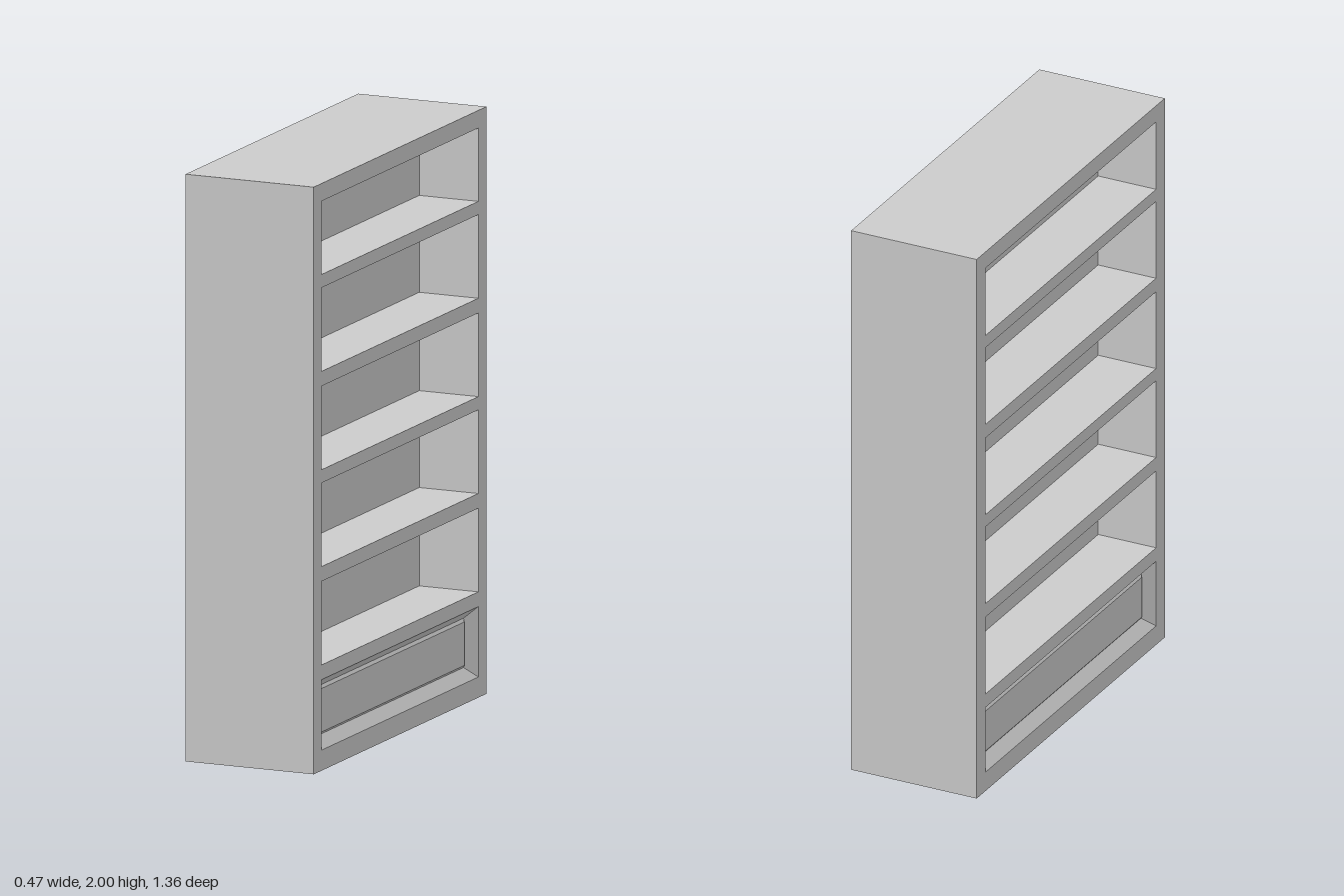
import * as THREE from 'three';

const HALF_DEPTH = 0.235, HALF_WIDTH = 0.68, OPEN = 0.617, HEIGHT = 2;
// bottom and top of each opening, lowest first
const BAYS = [[0.07, 0.31], [0.36, 0.645], [0.695, 0.98], [1.025, 1.31], [1.36, 1.645], [1.69, 1.94]];

const material = new THREE.MeshStandardMaterial({ color: 0xcccccc, flatShading: true });

function rectangle(Type, w, y0, y1) {
  const r = new Type();
  r.moveTo(-w, y0);
  r.lineTo(w, y0);
  r.lineTo(w, y1);
  r.lineTo(-w, y1);
  r.closePath();
  return r;
}

// Nested rectangles [inset, x] joined by sloping faces and capped, facing +x
function beveledPanel(w, y0, y1, rings) {
  const pos = [], index = [];
  rings.forEach(([inset, x], r) => {
    const z = w - inset, a = y0 + inset, b = y1 - inset;
    pos.push(x, a, z, x, a, -z, x, b, -z, x, b, z);
    if (r === 0) return;
    for (let i = 0; i < 4; i++) {
      const j = (i + 1) % 4, o = (r - 1) * 4, n = r * 4;
      index.push(o + i, o + j, n + j, o + i, n + j, n + i);
    }
  });
  const c = (rings.length - 1) * 4;
  index.push(c, c + 1, c + 2, c, c + 2, c + 3);
  const geo = new THREE.BufferGeometry();
  geo.setAttribute('position', new THREE.Float32BufferAttribute(pos, 3));
  geo.setIndex(index);
  const flat = geo.toNonIndexed();
  flat.computeVertexNormals();
  return flat;
}

export function createModel() {
  const group = new THREE.Group();
  group.name = 'doubleSidedShelf';
  const add = (name, geo) => {
    const mesh = new THREE.Mesh(geo, material);
    mesh.name = name;
    group.add(mesh);
    return mesh;
  };

  // Sides, shelves, top and base as one frame open through the depth
  const outline = rectangle(THREE.Shape, HALF_WIDTH, 0, HEIGHT);
  for (const [y0, y1] of BAYS) outline.holes.push(rectangle(THREE.Path, OPEN, y0, y1));
  const frame = new THREE.ExtrudeGeometry(outline, { depth: 2 * HALF_DEPTH, bevelEnabled: false });
  frame.translate(0, 0, -HALF_DEPTH);
  frame.rotateY(Math.PI / 2);
  add('frame', frame);

  // Central back panel shared by the shelves of both sides
  const low = 0.335, high = 1.965;
  const divider = new THREE.BoxGeometry(0.036, high - low, 2 * OPEN + 0.04);
  divider.translate(0, (low + high) / 2, 0);
  add('divider', divider);

  // Sunken plinth panel with a sloping border and a raised field, on both sides
  const [y0, y1] = BAYS[0];
  const rings = [[0, HALF_DEPTH], [0.036, HALF_DEPTH - 0.038], [0.046, HALF_DEPTH - 0.03]];
  const panel = beveledPanel(OPEN, y0, y1, rings);
  add('rightPlinthPanel', panel);
  add('leftPlinthPanel', panel).rotation.y = Math.PI;

  return group;
}
